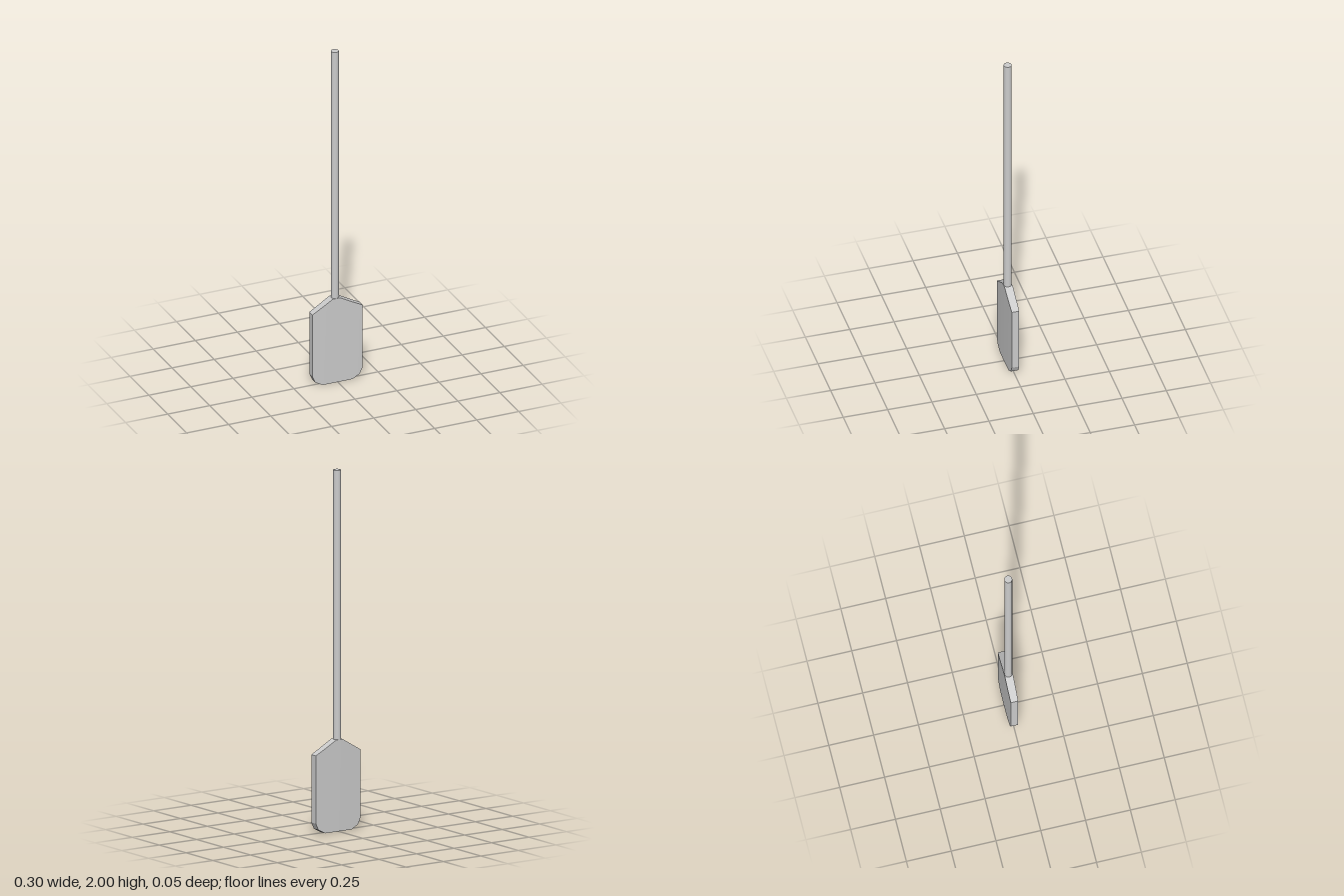
import * as THREE from 'three';
import { toCreasedNormals } from 'three/addons/utils/BufferGeometryUtils.js';

const material = new THREE.MeshStandardMaterial({ color: 0xcccccc });
const SHAFT_X = -0.007;
const SHAFT_RADIUS = 0.0215;

// Blade outline as columns: x, bottom y, top y
const columns = [
  [-0.149, 0.06, 0.436],
  [-0.132, 0.023, 0.446],
  [-0.088, 0, 0.472],
  [-0.029, 0, 0.508],
  [0.015, 0, 0.508],
  [0.088, 0, 0.468],
  [0.132, 0.023, 0.445],
  [0.149, 0.06, 0.436],
];

// Slightly domed plate: a box whose columns follow the outline
function bladeGeometry() {
  const n = columns.length - 1;
  const geometry = new THREE.BoxGeometry(1, 1, 1, n, 1, 1);
  const p = geometry.attributes.position;
  for (let i = 0; i < p.count; i++) {
    const [x, bottom, top] = columns[Math.round((p.getX(i) + 0.5) * n)];
    const half = 0.0232 - 0.0025 * (x / 0.149) ** 2;
    p.setXYZ(i, x, p.getY(i) > 0 ? top : bottom, Math.sign(p.getZ(i)) * half);
  }
  return toCreasedNormals(geometry, Math.PI / 9);
}

export function createModel() {
  const model = new THREE.Group();
  model.name = 'paddle';

  const blade = new THREE.Mesh(bladeGeometry(), material);
  blade.name = 'blade';

  // Long round shaft rising from the top of the blade
  const base = 0.5;
  const length = 2 - base;
  const shaft = new THREE.Mesh(
    new THREE.CylinderGeometry(SHAFT_RADIUS, SHAFT_RADIUS, length, 32), material);
  shaft.position.set(SHAFT_X, base + length / 2, 0);
  shaft.name = 'shaft';

  model.add(blade, shaft);
  return model;
}
